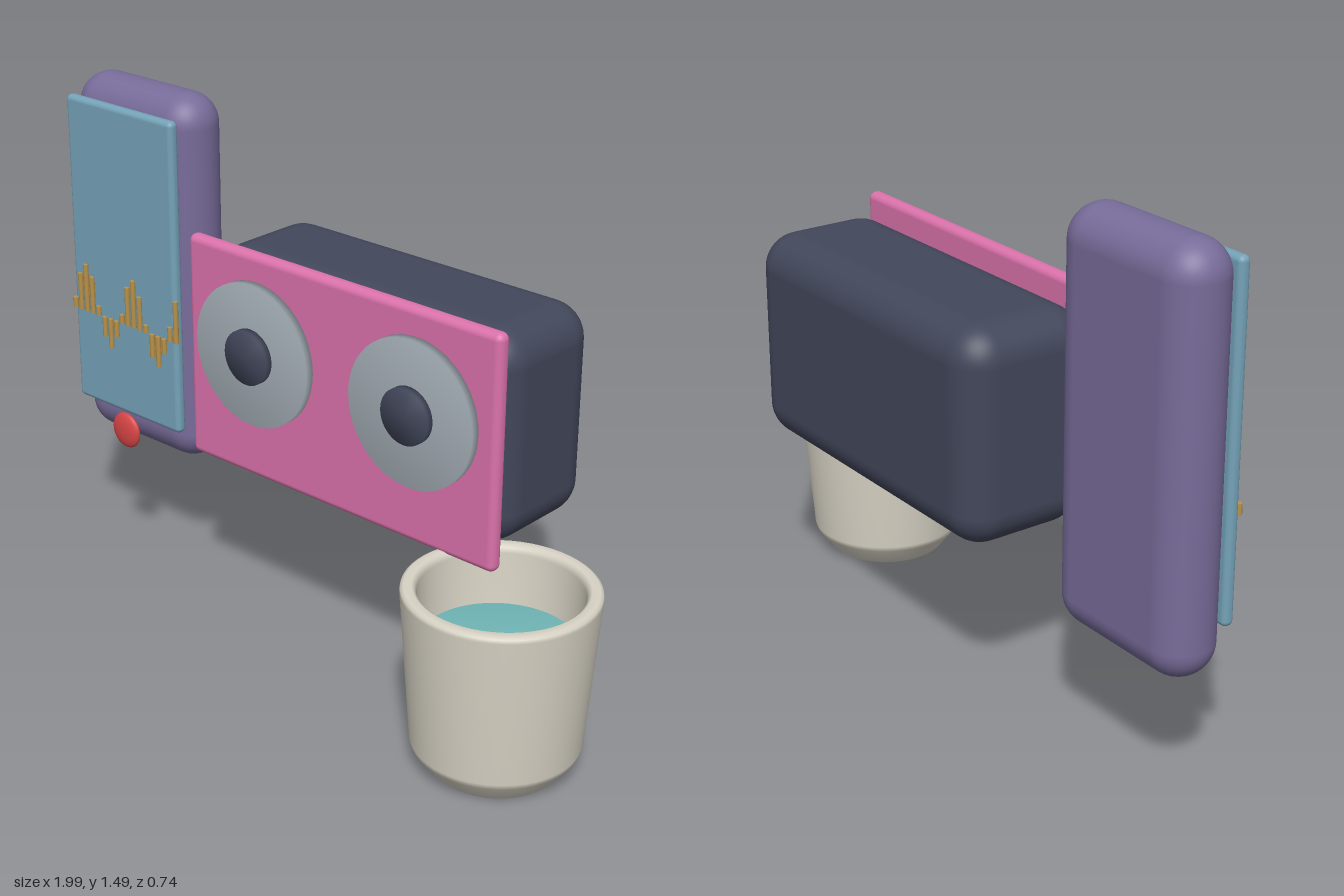
import * as THREE from 'three';
import { mergeVertices } from 'three/addons/utils/BufferGeometryUtils.js';
import { RoundedBoxGeometry } from 'three/addons/geometries/RoundedBoxGeometry.js';

const material = (name, color) => {
  const m = new THREE.MeshStandardMaterial({ color });
  m.name = name;
  return m;
};

export function createModel() {
  const model = new THREE.Group();
  const purple = material('purple', 0x786c9a);
  const blue = material('screenBlue', 0x75a3b8);
  const gold = material('gold', 0xb8924a);
  const red = material('red', 0xd84545);
  const pink = material('pink', 0xdb72ab);
  const navy = material('navy', 0x42475b);
  const grey = material('grey', 0xa3adb5);
  const cream = material('cream', 0xd8d3c5);
  const teal = material('teal', 0x72b8b8);

  const add = (name, geometry, mat, x, y, z, parent = model) => {
    const mesh = new THREE.Mesh(geometry, mat);
    mesh.name = name;
    mesh.position.set(x, y, z);
    parent.add(mesh);
    return mesh;
  };

  // Rounded block given by its limits on each axis
  const block = (name, mat, [x0, x1], [y0, y1], [z0, z1], r, parent) =>
    add(name, new RoundedBoxGeometry(x1 - x0, y1 - y0, z1 - z0, 6, r), mat,
      (x0 + x1) / 2, (y0 + y1) / 2, (z0 + z1) / 2, parent);

  // Cylinder whose normals are smoothed across the rim
  const softDisc = (r, h) => {
    const g = new THREE.CylinderGeometry(r, r, h, 48);
    g.deleteAttribute('normal');
    g.deleteAttribute('uv');
    const merged = mergeVertices(g, 1e-4);
    merged.computeVertexNormals();
    return merged;
  };

  // Handheld device with screen, waveform and button
  const device = new THREE.Group();
  device.name = 'handheldDevice';
  model.add(device);
  block('deviceBody', purple, [-1, -0.512], [0.375, 1.485], [-0.22, -0.035], 0.092, device);
  block('screen', blue, [-0.972, -0.54], [0.49, 1.43], [-0.038, -0.004], 0.015, device);

  const levels = [0.03, 0.112, 0.145, 0.112, 0.027, -0.06, -0.092, -0.048, 0.027,
    0.118, 0.145, 0.102, 0.022, -0.07, -0.092, -0.043, 0.043, 0.128];
  levels.forEach((h, i) => {
    add('waveformBar', new THREE.CylinderGeometry(0.008, 0.008, Math.abs(h), 10), gold,
      -0.963 + i * 0.0252, 0.782 + h / 2, 0, device);
  });
  add('recordButton', new THREE.SphereGeometry(0.055, 32, 20), red, -0.747, 0.447, 0.013, device)
    .scale.z = 0.32;

  // Speaker box with front plate and two drivers
  const speaker = new THREE.Group();
  speaker.name = 'speakerBox';
  model.add(speaker);
  block('cabinet', navy, [-0.39, 0.657], [0.528, 1.128], [-0.37, 0.026], 0.1, speaker);
  block('frontPlate', pink, [-0.405, 0.675], [0.51, 1.165], [0.026, 0.07], 0.02, speaker);
  for (const x of [-0.145, 0.412]) {
    add('driverRing', softDisc(0.205, 0.03), grey, x, 0.885, 0.08, speaker).rotation.x = Math.PI / 2;
    add('driverCap', softDisc(0.078, 0.03), navy, x, 0.885, 0.1, speaker).rotation.x = Math.PI / 2;
  }

  // Cup with thick rim and liquid
  const cup = new THREE.Group();
  cup.name = 'cup';
  cup.position.set(0.738, 0, 0.11);
  model.add(cup);
  const profile = [[0, 0], [0.165, 0], [0.172, 0.005], [0.218, 0.063], [0.224, 0.08],
    [0.256, 0.505], [0.254, 0.515], [0.246, 0.52], [0.225, 0.52], [0.217, 0.514],
    [0.213, 0.5], [0.195, 0.12], [0.16, 0.06], [0, 0.06]];
  add('cupBody', new THREE.LatheGeometry(profile.map(([x, y]) => new THREE.Vector2(x, y)), 56),
    cream, 0, 0, 0, cup);
  add('liquid', softDisc(0.206, 0.02), teal, 0, 0.345, 0, cup);

  return model;
}
